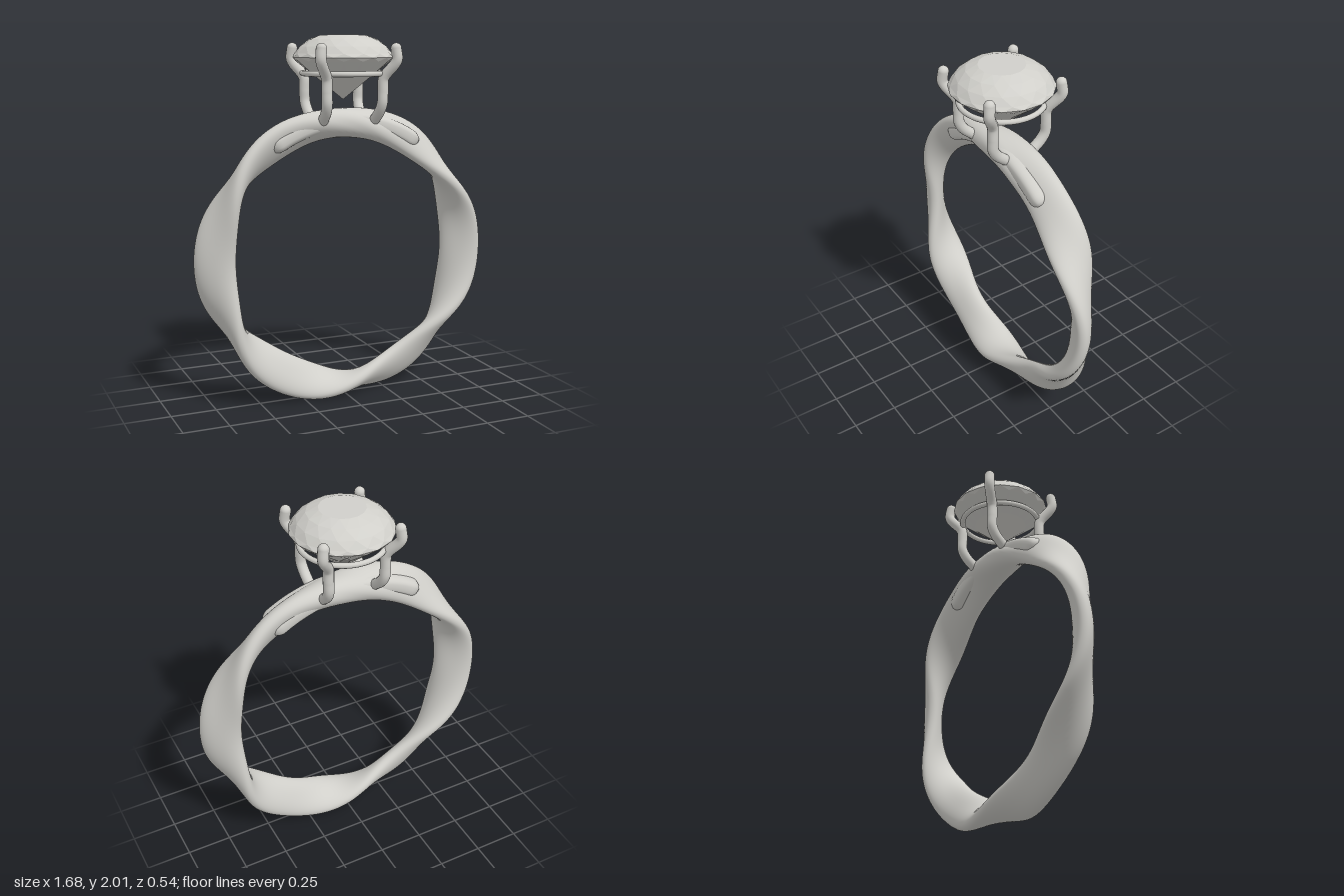
import * as THREE from 'three';

const CENTER_Y = 0.8;
const metal = new THREE.MeshStandardMaterial({ color: 0xd0cfca });
metal.name = 'pale grey';

// Loft of oval sections around the ring's centre; angle is clockwise from the top, in degrees.
// section(angle) gives { r, a, b, tilt, power }: centre radius, half width, half thickness, twist.
function arcLoft(from, to, steps, sides, closed, section) {
  const pos = [], index = [];
  const rows = closed ? steps : steps + 1;
  const bend = (v, p) => Math.sign(v) * Math.abs(v) ** p;
  for (let i = 0; i < rows; i++) {
    const deg = from + (to - from) * i / steps;
    const al = THREE.MathUtils.degToRad(deg);
    const { r, a, b, tilt, power } = section(deg);
    const t = THREE.MathUtils.degToRad(tilt);
    for (let j = 0; j < sides; j++) {
      const u = j / sides * Math.PI * 2;
      const l = a * bend(Math.cos(u), power), s = b * bend(Math.sin(u), power);
      const rad = r + l * Math.sin(t) + s * Math.cos(t);
      const z = l * Math.cos(t) - s * Math.sin(t);
      pos.push(rad * Math.sin(al), CENTER_Y + rad * Math.cos(al), z);
    }
  }
  for (let i = 0; i < steps; i++) {
    const n = (i + 1) % rows;
    for (let j = 0; j < sides; j++) {
      const k = (j + 1) % sides;
      const p = i * sides + j, q = n * sides + j, s = n * sides + k, w = i * sides + k;
      index.push(p, q, w, q, s, w);
    }
  }
  const geo = new THREE.BufferGeometry();
  geo.setAttribute('position', new THREE.Float32BufferAttribute(pos, 3));
  geo.setIndex(index);
  geo.computeVertexNormals();
  return geo;
}

// The band sways to and fro three times per turn, a little more at the bottom
function bandTilt(deg) {
  const al = THREE.MathUtils.degToRad(deg);
  return -(57 - 5 * Math.cos(al)) * Math.sin(3 * al);
}

// Faceted stone from staggered rings of [radius, height]
function facetedStone(rings, n) {
  const pos = [];
  const point = (k, j) => {
    const [r, y] = rings[k];
    const phi = (j + k / 2) / n * Math.PI * 2;
    return [r * Math.cos(phi), y, r * Math.sin(phi)];
  };
  for (let k = 0; k < rings.length - 1; k++) {
    for (let j = 0; j < n; j++) {
      if (rings[k][0] > 0) pos.push(...point(k, j), ...point(k, j + 1), ...point(k + 1, j));
      if (rings[k + 1][0] > 0) pos.push(...point(k, j + 1), ...point(k + 1, j + 1), ...point(k + 1, j));
    }
  }
  const geo = new THREE.BufferGeometry();
  geo.setAttribute('position', new THREE.Float32BufferAttribute(pos, 3));
  geo.computeVertexNormals();
  return geo;
}

export function createModel() {
  const model = new THREE.Group();
  model.name = 'ring';
  const add = (name, geo, parent = model) => {
    const mesh = new THREE.Mesh(geo, metal);
    mesh.name = name;
    parent.add(mesh);
    return mesh;
  };

  // Swaying band, a little thicker under the setting
  add('twistedBand', arcLoft(0, 360, 288, 40, true, deg => {
    const top = Math.exp(-((Math.min(deg, 360 - deg) / 22) ** 2));
    return {
      r: 0.74 - 0.01 * top, a: 0.115 - 0.015 * top, b: 0.053 + 0.027 * top,
      tilt: bandTilt(deg), power: 0.9,
    };
  }));

  // Curved bridge set into the top of the band, with rounded ends
  add('topBridge', arcLoft(-36, 36, 72, 32, false, deg => {
    const e = Math.max(0, (Math.abs(deg) - 31) / 5);
    const round = Math.sqrt(Math.max(0, 1 - e * e));
    return { r: 0.742, a: 0.088 * (0.6 * round + 0.4 * Math.sign(round)), b: 0.052 * round, tilt: 0, power: 0.7 };
  }));

  // Four prongs: foot on the band, upright stem, outward bend and rounded tip
  const prongs = new THREE.Group();
  prongs.name = 'prongs';
  model.add(prongs);
  const path = [
    [0.152, 1.55, 0.085], [0.156, 1.595, 0.135], [0.16, 1.64, 0.16], [0.162, 1.7, 0.162], [0.163, 1.765, 0.163],
    [0.172, 1.79, 0.172], [0.21, 1.85, 0.21], [0.218, 1.875, 0.218], [0.213, 1.93, 0.213],
  ];
  for (const sx of [-1, 1]) {
    for (const sz of [-1, 1]) {
      const pts = path.map(([x, y, z]) => new THREE.Vector3(x * sx, y, z * sz));
      const prong = new THREE.Group();
      prong.name = 'prong';
      prongs.add(prong);
      add('prongStem', new THREE.TubeGeometry(new THREE.CatmullRomCurve3(pts), 56, 0.029, 16), prong);
      for (const end of [pts[0], pts[pts.length - 1]]) {
        add('prongEnd', new THREE.SphereGeometry(0.029, 16, 12), prong).position.copy(end);
      }
    }
  }

  // Collar joining the prongs
  const collar = add('collar', new THREE.TorusGeometry(0.222, 0.015, 12, 64));
  collar.rotation.x = Math.PI / 2;
  collar.position.y = 1.797;

  // Cut stone: table, crown, girdle and pointed pavilion
  add('stone', facetedStone([
    [0, 2], [0.122, 2], [0.185, 1.977], [0.235, 1.94], [0.264, 1.902],
    [0.276, 1.882], [0.258, 1.862], [0.15, 1.777], [0, 1.655],
  ], 16));

  return model;
}
